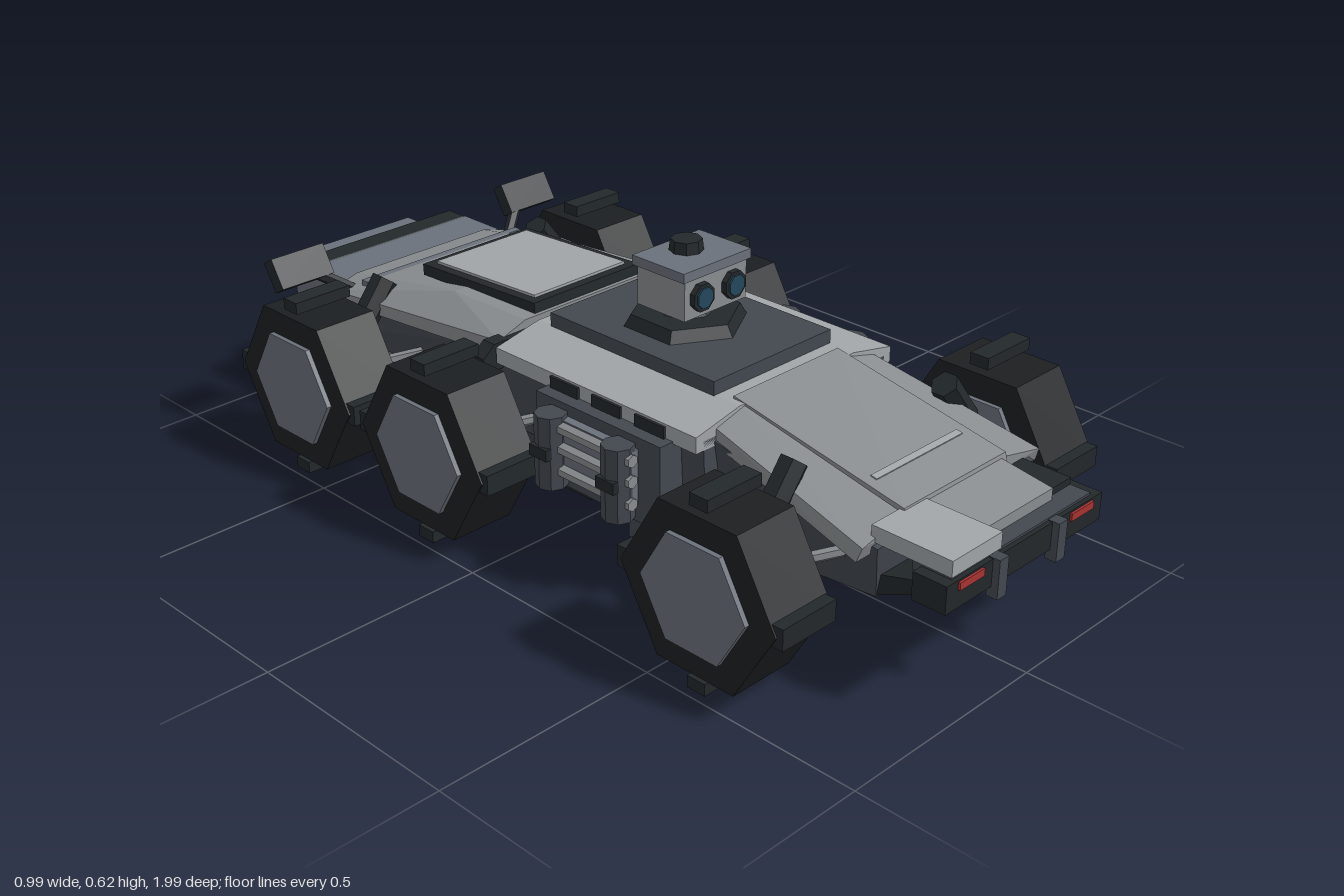
import * as THREE from 'three';
import { ConvexGeometry } from 'three/addons/geometries/ConvexGeometry.js';

const C = {
  light: 0xa2a6a9, plate: 0x8a8e91, slate: 0x6b717b, dark: 0x434850, black: 0x23282b,
  tyre: 0x1c1f21, red: 0xa83232, amber: 0xc07a20, green: 0x2f9a62, cyan: 0x2aa5b8, lens: 0x24485c,
};
const mats = {};
const mat = (c) => (mats[c] ??= new THREE.MeshStandardMaterial({ color: C[c], flatShading: true }));

export function createModel() {
  const model = new THREE.Group();
  model.name = 'sixWheeledRover';

  function add(name, color, geo, x = 0, y = 0, z = 0, parent = model) {
    const m = new THREE.Mesh(geo, mat(color));
    m.name = name;
    m.position.set(x, y, z);
    parent.add(m);
    return m;
  }
  // Box given by its ranges in x, y and z
  function box(name, color, [x0, x1], [y0, y1], [z0, z1], parent) {
    return add(name, color, new THREE.BoxGeometry(Math.abs(x1 - x0), y1 - y0, z1 - z0),
      (x0 + x1) / 2, (y0 + y1) / 2, (z0 + z1) / 2, parent);
  }
  // Convex solid from half-outline corners [x, y, z], mirrored in x
  function hull(name, color, pts) {
    const all = pts.flatMap(([x, y, z]) => [new THREE.Vector3(x, y, z), new THREE.Vector3(-x, y, z)]);
    return add(name, color, new ConvexGeometry(all));
  }
  // Round bar between two points
  function bar(name, color, a, b, r, sides = 6, r2 = r) {
    const p = new THREE.Vector3(...a), q = new THREE.Vector3(...b);
    const m = add(name, color, new THREE.CylinderGeometry(r2, r, p.distanceTo(q), sides));
    m.position.copy(p).add(q).multiplyScalar(0.5);
    m.quaternion.setFromUnitVectors(new THREE.Vector3(0, 1, 0), q.sub(p).normalize());
    return m;
  }

  // Lower hull and belly
  hull('middleHull', 'dark', [[0.2, 0.13, 0.42], [0.2, 0.13, -0.2], [0.26, 0.2, 0.42], [0.26, 0.2, -0.2],
    [0.27, 0.37, 0.42], [0.27, 0.37, -0.2]]);
  hull('frontHull', 'dark', [[0.2, 0.13, 0.42], [0.24, 0.36, 0.42], [0.21, 0.17, 0.8], [0.24, 0.29, 0.82]]);
  hull('rearHull', 'dark', [[0.2, 0.14, -0.18], [0.24, 0.36, -0.18], [0.2, 0.16, -0.68], [0.235, 0.22, -0.76],
    [0.235, 0.32, -0.76]]);
  box('bellyPlate', 'black', [-0.2, 0.2], [0.122, 0.14], [-0.16, 0.42]);
  hull('noseUnderplate', 'black', [[0.21, 0.17, 0.79], [0.21, 0.215, 0.79], [0.21, 0.24, 0.95], [0.21, 0.26, 0.95]]);

  // Armour deck
  hull('middleDeck', 'light', [[0.29, 0.35, 0.42], [0.29, 0.385, 0.42], [0.17, 0.41, 0.42],
    [0.29, 0.35, -0.15], [0.29, 0.385, -0.15], [0.17, 0.41, -0.15]]);
  hull('frontDeck', 'plate', [[0.235, 0.35, 0.42], [0.235, 0.385, 0.42], [0.16, 0.405, 0.42],
    [0.275, 0.27, 0.8], [0.27, 0.3, 0.81], [0.16, 0.325, 0.81]]);
  hull('frontCentrePanel', 'plate', [[0.155, 0.36, 0.39], [0.155, 0.416, 0.39], [0.155, 0.3, 0.82], [0.155, 0.336, 0.81]]);
  const ridge = box('frontRidge', 'light', [-0.13, 0.13], [0.348, 0.356], [0.71, 0.725]);
  ridge.rotation.x = 0.18;
  hull('rearDeck', 'plate', [[0.265, 0.35, -0.17], [0.265, 0.385, -0.17], [0.19, 0.41, -0.17],
    [0.265, 0.3, -0.75], [0.265, 0.325, -0.75], [0.19, 0.345, -0.75], [0.19, 0.405, -0.4]]);
  hull('deckSeam', 'black', [[0.32, 0.33, -0.155], [0.32, 0.365, -0.155], [0.29, 0.39, -0.155],
    [0.32, 0.33, -0.19], [0.32, 0.365, -0.19], [0.29, 0.39, -0.19]]);
  box('rearRidge', 'slate', [-0.23, 0.23], [0.345, 0.36], [-0.68, -0.66]);

  // Rear hatch
  const hatch = new THREE.Group();
  hatch.name = 'rearHatch';
  hatch.position.set(0, 0.41, -0.365);
  hatch.rotation.x = -0.05;
  model.add(hatch);
  box('hatchFrame', 'black', [-0.155, 0.155], [-0.012, 0.014], [-0.185, 0.185], hatch);
  box('hatchPanel', 'light', [-0.133, 0.133], [0, 0.02], [-0.162, 0.162], hatch);

  // Nose and bumper
  box('noseCornerPlate', 'light', [-0.235, -0.09], [0.298, 0.332], [0.8, 0.98]);
  hull('noseCentrePlate', 'plate', [[0.14, 0.28, 0.8], [0.14, 0.33, 0.8], [0.14, 0.27, 0.93], [0.14, 0.31, 0.93]]);
  box('noseSidePlate', 'black', [0.14, 0.215], [0.26, 0.3], [0.8, 0.92]);
  box('bumper', 'black', [-0.24, 0.24], [0.222, 0.28], [0.9, 0.975]);
  box('bumperLip', 'dark', [-0.215, 0.215], [0.265, 0.285], [0.88, 0.965]);
  box('lowerFrontRail', 'dark', [-0.2, 0.2], [0.122, 0.15], [0.42, 0.48]);

  // Tail with number panel and lamps
  hull('tailBlock', 'slate', [[0.235, 0.215, -0.75], [0.235, 0.335, -0.75], [0.235, 0.215, -0.93],
    [0.235, 0.315, -0.935], [0.235, 0.335, -0.87]]);
  box('tailEdge', 'black', [-0.237, 0.237], [0.318, 0.332], [-0.935, -0.86]);
  box('panelFrame', 'slate', [-0.145, 0.145], [0.24, 0.325], [-0.985, -0.93]);
  box('panelRim', 'black', [-0.115, 0.115], [0.252, 0.315], [-0.995, -0.97]);
  box('numberPanel', 'green', [-0.1, 0.1], [0.262, 0.305], [-1, -0.98]);

  // Wheels: hexagonal tyre, hub and tread lugs
  const tyreGeo = new THREE.CylinderGeometry(0.192, 0.192, 0.15, 6).rotateZ(Math.PI / 2);
  const hubGeo = new THREE.CylinderGeometry(0.13, 0.13, 0.172, 6).rotateZ(Math.PI / 2);
  const lugGeo = new THREE.BoxGeometry(0.142, 0.026, 0.045);

  for (const s of [1, -1]) {
    const side = s > 0 ? 'left' : 'right';
    for (const z of [0.607, -0.17, -0.6]) {
      const wheel = new THREE.Group();
      wheel.name = side + 'Wheel';
      wheel.position.set(s * 0.41, 0.205, z);
      model.add(wheel);
      add('tyre', 'tyre', tyreGeo, 0, 0, 0, wheel);
      add('hub', 'slate', hubGeo, 0, 0, 0, wheel);
      for (let i = 0; i < 4; i++) {
        const a = i * Math.PI / 2;
        const lug = add('treadLug', 'black', lugGeo, 0, Math.cos(a) * 0.192, Math.sin(a) * 0.192, wheel);
        lug.rotation.x = a;
      }
      // Suspension
      box('axle', 'dark', [s * 0.18, s * 0.34], [0.175, 0.207], [z - 0.025, z + 0.025]);
      for (const d of [-1, 1])
        bar('wishbone', 'plate', [s * 0.23, 0.25, z + d * 0.13], [s * 0.335, 0.215, z + d * 0.03], 0.012);
      if (z !== -0.17) {
        bar('damper', 'black', [s * 0.31, 0.275, z], [s * 0.225, 0.385, z], 0.03);
        bar('damperRod', 'slate', [s * 0.335, 0.23, z], [s * 0.3, 0.29, z], 0.014);
      }
    }

    // Side equipment bay between the front and middle wheels
    box('equipmentBay', 'dark', [s * 0.26, s * 0.325], [0.17, 0.355], [0.01, 0.36]);
    box('equipmentBox', 'slate', [s * 0.3, s * 0.345], [0.21, 0.33], [0.05, 0.3]);
    for (const y of [0.22, 0.27, 0.315])
      bar('pipe', 'plate', [s * 0.348, y, 0.04], [s * 0.348, y, 0.31], 0.014);
    for (const z of [0.08, 0.27]) {
      bar('canister', 'dark', [s * 0.35, 0.18, z], [s * 0.35, 0.34, z], 0.034, 8);
      box('canisterClamp', 'black', [s * 0.3, s * 0.387], [0.25, 0.275], [z - 0.025, z + 0.025]);
    }
    for (const z of [0.29, 0.085, -0.34])
      bar('thruster', 'dark', [s * 0.215, 0.105, z], [s * 0.19, 0.165, z], 0.045, 8, 0.02);
    box('lowerPod', 'dark', [s * 0.26, s * 0.31], [0.115, 0.165], [0.26, 0.32]);
    box('lowerPod', 'black', [s * 0.26, s * 0.3], [0.145, 0.19], [0.03, 0.14]);
    for (let i = 0; i < 3; i++)
      box('sideVent', 'black', [s * 0.28, s * 0.296], [0.355, 0.38], [0.02 + i * 0.12, 0.1 + i * 0.12]);

    // Front and rear lamps
    box('frontLamp', 'red', [s * 0.135, s * 0.207], [0.26, 0.276], [0.96, 0.98]);
    box('towStrut', 'dark', [s * 0.078, s * 0.105], [0.2, 0.282], [0.965, 0.99]);
    box('lampHousing', 'black', [s * 0.155, s * 0.23], [0.235, 0.312], [-0.94, -0.92]);
    box('brakeLamp', 'red', [s * 0.16, s * 0.225], [0.28, 0.305], [-0.945, -0.93]);
    box('turnLamp', 'amber', [s * 0.16, s * 0.225], [0.243, 0.266], [-0.945, -0.93]);

    // Raised rear flaps with light strips
    const flap = new THREE.Group();
    flap.name = side + 'RearFlap';
    flap.position.set(s * 0.337, 0.395, -0.765);
    flap.rotation.x = -0.55;
    model.add(flap);
    box('flapPlate', 'black', [-0.07, 0.07], [-0.036, 0.036], [-0.017, 0.017], flap);
    box('flapStrip', s > 0 ? 'cyan' : 'amber', [-0.055, 0.055], [-0.012, 0.012], [-0.021, -0.015], flap);
    bar('flapArm', 'black', [s * 0.22, 0.32, -0.7], [s * 0.3, 0.375, -0.755], 0.014);
  }

  // Sensor turret
  box('turretPlatform', 'dark', [-0.173, 0.173], [0.4, 0.44], [-0.11, 0.355]);
  add('turretBase', 'black', new THREE.CylinderGeometry(0.117, 0.132, 0.026, 6), 0, 0.452, 0.112);
  add('turretNeck', 'dark', new THREE.CylinderGeometry(0.045, 0.06, 0.034, 8), 0, 0.478, 0.112);
  box('sensorHead', 'plate', [-0.09, 0.09], [0.488, 0.58], [0.062, 0.195]);
  box('sensorLid', 'slate', [-0.098, 0.098], [0.574, 0.595], [0.055, 0.2]);
  add('sensorCap', 'black', new THREE.CylinderGeometry(0.033, 0.036, 0.026, 8), 0, 0.607, 0.112);
  const disc = (r, h) => new THREE.CylinderGeometry(r, r, h, 8).rotateX(Math.PI / 2).rotateZ(Math.PI / 8);
  for (const s of [1, -1]) {
    add('eyeRim', 'black', disc(0.031, 0.022), s * 0.046, 0.532, 0.197);
    add('eyeLens', 'lens', disc(0.023, 0.026), s * 0.046, 0.532, 0.199);
  }
  return model;
}
